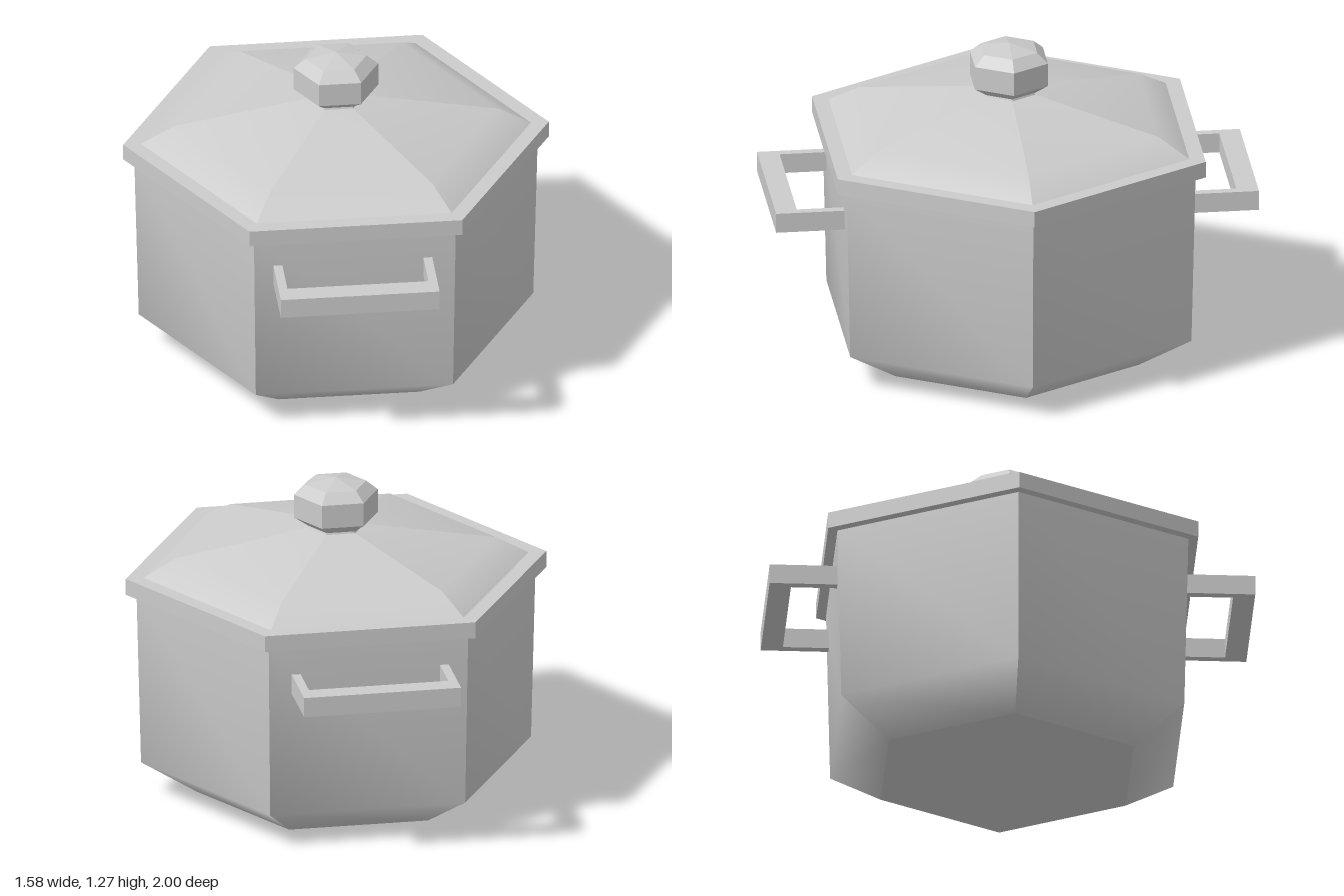
import * as THREE from 'three';
import { mergeGeometries } from 'three/addons/utils/BufferGeometryUtils.js';

const SIDES = 6;
const TURN = THREE.MathUtils.degToRad(11); // first corner, measured from +z towards +x

// Six-sided revolved strips: smooth along each profile, sharp between sides and between profiles
function hexGeometry(profiles) {
  const strips = [];
  const step = (Math.PI * 2) / SIDES;
  for (const profile of profiles) {
    const points = profile.map(([r, y]) => new THREE.Vector2(r, y));
    for (let i = 0; i < SIDES; i++) {
      const g = new THREE.LatheGeometry(points, 1, TURN + i * step, step);
      g.deleteAttribute('normal');
      g.computeVertexNormals();
      strips.push(g);
    }
  }
  return mergeGeometries(strips);
}

// Splits a profile into single segments so that every edge is sharp
const sharp = (profile) => profile.slice(1).map((p, i) => [profile[i], p]);

export function createModel() {
  const group = new THREE.Group();
  const material = new THREE.MeshStandardMaterial({ color: 0xcccccc, side: THREE.DoubleSide });
  const add = (name, geometry) => {
    const mesh = new THREE.Mesh(geometry, material);
    mesh.name = name;
    group.add(mesh);
    return mesh;
  };

  // Pot: flat base, then bevel and wall shaded as one
  add('potBody', hexGeometry([
    [[0, 0], [0.553, 0]],
    [[0.553, 0], [0.775, 0.138], [0.793, 0.85]],
  ]));

  // Lid: flat-edged rim and a two-slope top
  add('lidRim', hexGeometry(sharp([[0.75, 0.842], [0.836, 0.842], [0.836, 0.908], [0.75, 0.908]])));
  add('lidTop', hexGeometry([[[0.766, 0.908], [0.636, 0.98], [0.113, 1.073], [0, 1.075]]]));

  // Faceted knob
  add('lidKnob', hexGeometry(sharp([
    [0.115, 1.068], [0.11, 1.08], [0.166, 1.118], [0.166, 1.213], [0.12, 1.252], [0, 1.275],
  ])));

  // U-shaped handles on two opposite walls
  const w = 0.312, arm = 0.035, inner = 0.66, outer = 0.95, bar = 0.085;
  const outline = [
    [-w, inner], [-w + arm, inner], [-w + arm, outer - bar], [w - arm, outer - bar],
    [w - arm, inner], [w, inner], [w, outer], [-w, outer],
  ].map(([x, y]) => new THREE.Vector2(x, y));
  const handle = new THREE.ExtrudeGeometry(new THREE.Shape(outline), { depth: 0.08, bevelEnabled: false });
  handle.rotateX(Math.PI / 2).translate(0, 0.725, 0);
  ['frontHandle', 'backHandle'].forEach((name, i) => {
    const mesh = add(name, handle);
    mesh.rotation.y = TURN - Math.PI / SIDES + i * Math.PI;
    mesh.position.x = -0.008;
  });

  return group;
}
